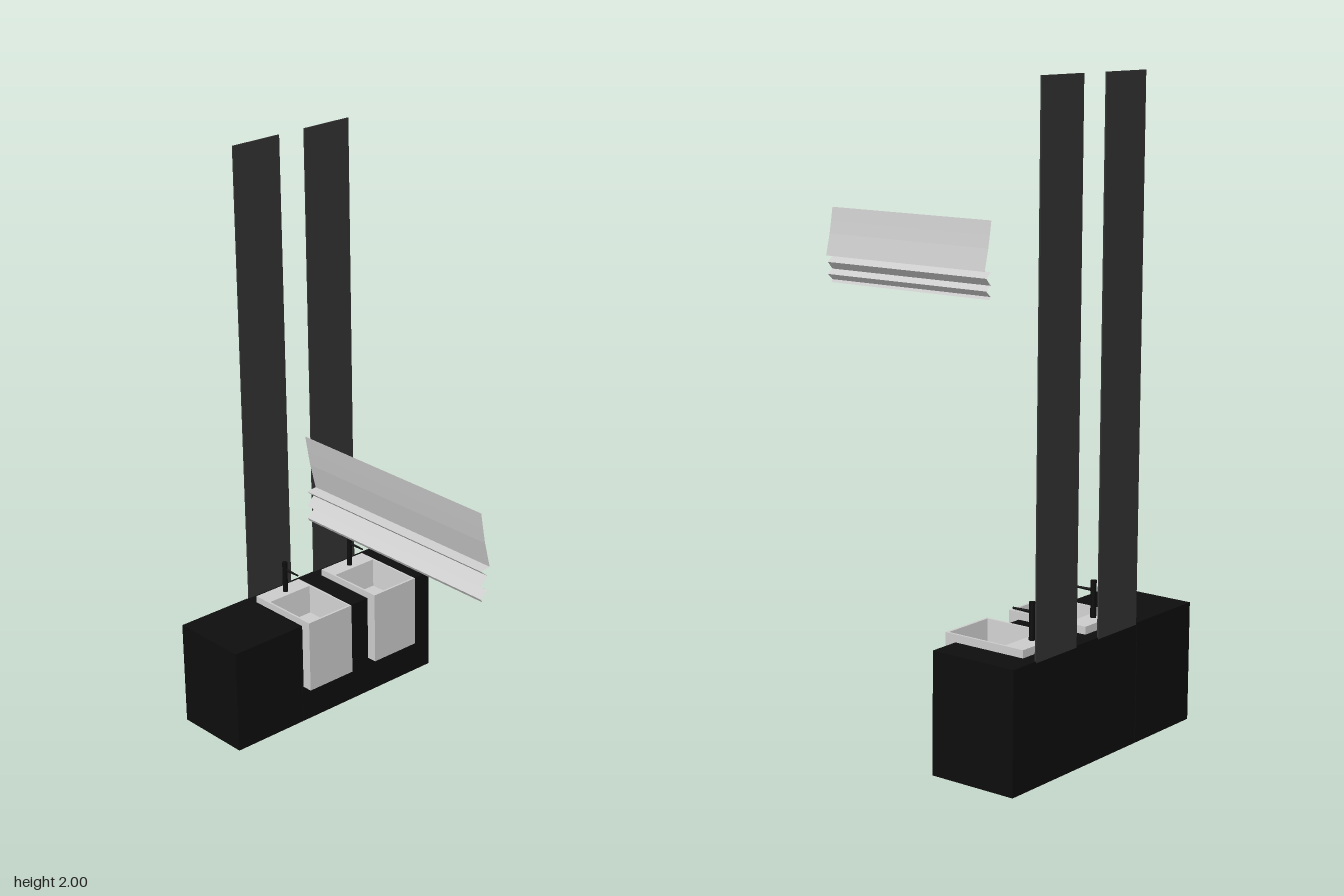
import * as THREE from 'three';

const mat = (color, side = THREE.FrontSide) => new THREE.MeshStandardMaterial({ color, side });

function add(parent, name, geometry, material, x = 0, y = 0, z = 0) {
  const mesh = new THREE.Mesh(geometry, material);
  mesh.name = name;
  mesh.position.set(x, y, z);
  parent.add(mesh);
  return mesh;
}

// Box given by its limits on each axis
function addBox(parent, name, material, [x0, x1], [y0, y1], [z0, z1]) {
  return add(parent, name, new THREE.BoxGeometry(x1 - x0, y1 - y0, z1 - z0), material,
    (x0 + x1) / 2, (y0 + y1) / 2, (z0 + z1) / 2);
}

// Closed skin through rectangular rings [x0, x1, halfDepth, y]
function rectLoft(rings) {
  const loops = rings.map(([x0, x1, h, y]) => [[x0, y, h], [x1, y, h], [x1, y, -h], [x0, y, -h]]);
  const pos = [];
  const quad = (a, b, c, d) => pos.push(...a, ...b, ...c, ...a, ...c, ...d);
  for (let r = 0; r < loops.length - 1; r++) {
    for (let i = 0; i < 4; i++) {
      const j = (i + 1) % 4;
      quad(loops[r][i], loops[r][j], loops[r + 1][j], loops[r + 1][i]);
    }
  }
  const first = loops[0], last = loops[loops.length - 1];
  quad(first[3], first[2], first[1], first[0]);
  quad(last[0], last[1], last[2], last[3]);
  const g = new THREE.BufferGeometry();
  g.setAttribute('position', new THREE.Float32BufferAttribute(pos, 3));
  g.computeVertexNormals();
  return g;
}

export function createModel() {
  const group = new THREE.Group();
  const black = mat(0x0d0d0d);
  const dark = mat(0x333333);
  const grey = mat(0xcccccc);
  const greyThin = mat(0xcccccc, THREE.DoubleSide);

  const back = -0.845, front = -0.557, top = 0.373;
  const sinkBack = -0.8, sinkFront = -0.52, sinkBottom = 0.135, sinkTop = 0.397;
  const half = 0.097;
  const sinkZ = [-0.073, -0.375];

  // Cabinet: plain base, upper part notched for the two sinks
  const z0 = -0.575, z1 = 0.028;
  addBox(group, 'cabinetBase', black, [back, front], [0, sinkBottom], [z0, z1]);
  const outline = new THREE.Shape();
  outline.moveTo(back, -z1);
  outline.lineTo(front, -z1);
  for (const z of sinkZ) {
    outline.lineTo(front, -(z + half));
    outline.lineTo(sinkBack, -(z + half));
    outline.lineTo(sinkBack, -(z - half));
    outline.lineTo(front, -(z - half));
  }
  outline.lineTo(front, -z0);
  outline.lineTo(back, -z0);
  const upper = new THREE.ExtrudeGeometry(outline, { depth: top - sinkBottom, bevelEnabled: false });
  upper.rotateX(-Math.PI / 2);
  add(group, 'cabinetTop', upper, black, 0, sinkBottom, 0);
  addBox(group, 'sideCabinet', black, [back, front], [0, top], [0.031, 0.317]);

  // Sink, tap and tall wall panel, repeated twice
  for (const z of sinkZ) {
    const unit = new THREE.Group();
    unit.name = 'washUnit';
    unit.position.z = z;
    group.add(unit);

    const floorY = 0.3;
    add(unit, 'sink', rectLoft([
      [sinkBack, sinkFront, half, sinkBottom],
      [sinkBack, sinkFront, half, sinkTop],
      [-0.733, -0.528, half - 0.007, sinkTop],
      [-0.72, -0.538, half - 0.018, floorY],
    ]), grey);
    add(unit, 'drain', new THREE.CylinderGeometry(0.014, 0.014, 0.004, 20), black, -0.677, floorY + 0.002, -0.003);

    add(unit, 'tapPost', new THREE.CylinderGeometry(0.009, 0.009, 0.115, 20), black, -0.76, 0.453, -0.002);
    const spout = add(unit, 'tapSpout', new THREE.CylinderGeometry(0.003, 0.005, 0.07, 12), black, -0.728, 0.481, -0.004);
    spout.rotation.z = -Math.PI / 2;

    addBox(unit, 'wallPanel', dark, [-0.846, -0.841], [top - 0.005, 2], [-half, half]);
  }

  // Suspended pleated sheet: [z, y] profile swept along x
  const profile = [
    [0.578, 1.458], [0.57, 1.41], [0.562, 1.365], [0.543, 1.288], [0.576, 1.284], [0.552, 1.264],
    [0.576, 1.238], [0.552, 1.221], [0.576, 1.2], [0.57, 1.19],
  ];
  const sheetPos = [];
  const left = 0.847, right = 0.135;
  for (let i = 0; i < profile.length - 1; i++) {
    const [za, ya] = profile[i], [zb, yb] = profile[i + 1];
    sheetPos.push(right, ya, za, right, yb, zb, left, yb, zb, right, ya, za, left, yb, zb, left, ya, za);
  }
  const sheet = new THREE.BufferGeometry();
  sheet.setAttribute('position', new THREE.Float32BufferAttribute(sheetPos, 3));
  sheet.computeVertexNormals();
  add(group, 'pleatedSheet', sheet, greyThin);

  return group;
}
